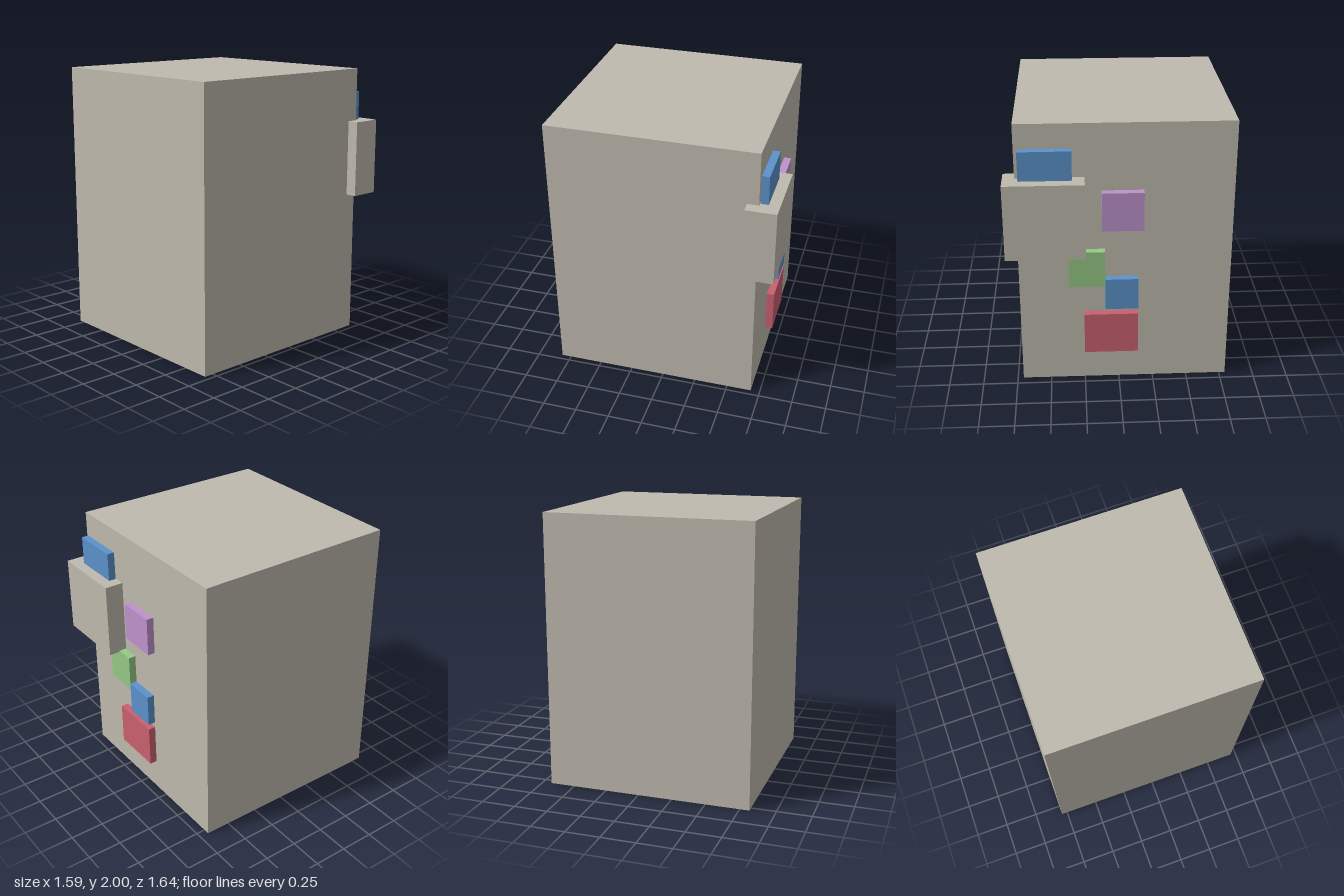
import * as THREE from 'three';

const paint = (name, color) => {
  const m = new THREE.MeshStandardMaterial({ color });
  m.name = name;
  return m;
};

export function createModel() {
  const group = new THREE.Group();
  const stone = paint('stone', 0xbfbaae);
  const blue = paint('blue', 0x5b92cb);
  const purple = paint('purple', 0xbe92cc);
  const green = paint('green', 0x95c986);
  const red = paint('red', 0xca6070);

  // Box between two opposite corners
  const box = (name, material, [x0, x1], [y0, y1], [z0, z1]) => {
    const mesh = new THREE.Mesh(new THREE.BoxGeometry(x1 - x0, y1 - y0, z1 - z0), material);
    mesh.position.set((x0 + x1) / 2, (y0 + y1) / 2, (z0 + z1) / 2);
    mesh.name = name;
    group.add(mesh);
  };

  // Main block and the block overhanging its back left edge
  box('body', stone, [-0.795, 0.708], [0, 2], [-0.682, 0.82]);
  box('sideBlock', stone, [0.235, 0.79], [1.06, 1.615], [-0.82, -0.6]);

  // Coloured tiles floating just off the back
  const depth = [-0.741, -0.687];
  box('topTile', blue, [0.32, 0.683], [1.58, 1.825], depth);
  box('purpleTile', purple, [-0.17, 0.12], [1.23, 1.515], depth);
  box('greenTile', green, [0.1, 0.355], [0.797, 1.07], depth);
  box('lowerBlueTile', blue, [-0.135, 0.1], [0.61, 0.85], depth);
  box('redTile', red, [-0.135, 0.25], [0.25, 0.567], depth);

  return group;
}
